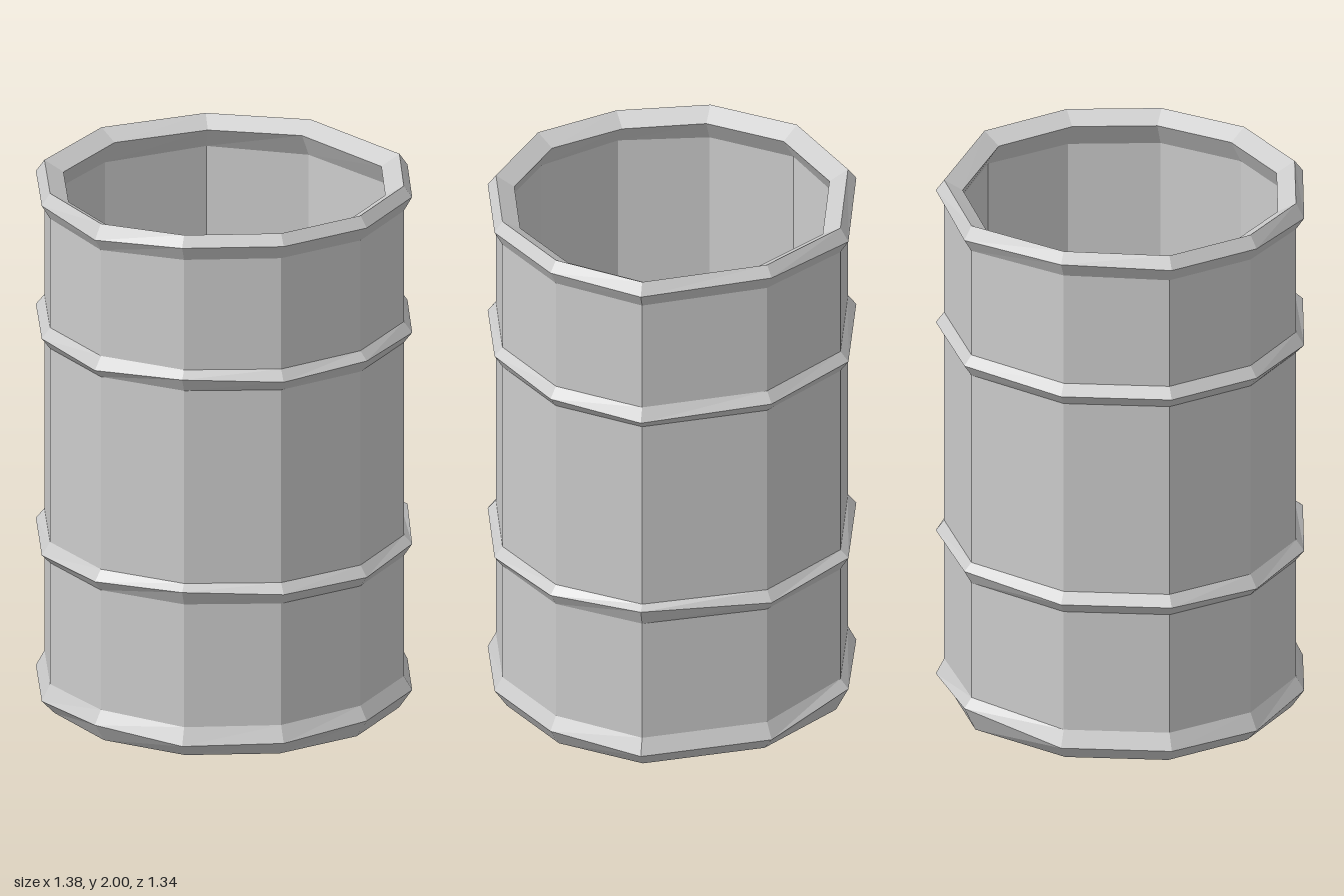
import * as THREE from 'three';

// Uneven eleven-sided outline [x, z] at the widest point of the hoops
const OUTLINE = [
  [0.69, 0], [0.585, 0.345], [0.325, 0.59], [-0.02, 0.67], [-0.37, 0.565], [-0.61, 0.305],
  [-0.69, -0.04], [-0.59, -0.385], [-0.275, -0.63], [0.155, -0.67], [0.495, -0.445],
];
const WALL = 0.955; // outer wall, as a share of the outline
const INNER = 0.93; // inner wall
const LIP = 0.855; // inner edge of the rims

const material = new THREE.MeshStandardMaterial({
  color: 0xcccccc, flatShading: true, side: THREE.DoubleSide,
});

// Sweeps a profile of [scale, y, dent weight] around the outline;
// dents shift each corner up or down for a battered look
function sweep(name, profile, dents = []) {
  const n = OUTLINE.length;
  const positions = [];
  const index = [];
  profile.forEach(([scale, y, weight = 0], j) => {
    OUTLINE.forEach(([x, z], i) => {
      positions.push(x * scale, y + weight * (dents[i] ?? 0), z * scale);
      if (j === 0) return;
      const k = (i + 1) % n;
      const low = (j - 1) * n;
      const high = j * n;
      index.push(low + i, high + i, low + k, low + k, high + i, high + k);
    });
  });
  const geometry = new THREE.BufferGeometry();
  geometry.setAttribute('position', new THREE.Float32BufferAttribute(positions, 3));
  geometry.setIndex(index);
  geometry.computeVertexNormals();
  const mesh = new THREE.Mesh(geometry, material);
  mesh.name = name;
  return mesh;
}

// Pointed hoop around the wall
function hoop(name, y, dents) {
  return sweep(name, [[WALL, y - 0.04, 0.2], [1, y, 1], [WALL, y + 0.04, 0.2]], dents);
}

export function createModel() {
  const group = new THREE.Group();
  group.name = 'barrel';

  // Walls and floor
  group.add(sweep('outerWall', [[WALL, 0.1], [WALL, 1.92]]));
  group.add(sweep('innerWall', [[INNER, 1.9], [INNER, 0.04]]));
  group.add(sweep('floor', [[INNER, 0.04], [0, 0.04]]));

  // Hoops
  group.add(hoop('lowerHoop', 0.62,
    [0.03, 0.01, 0, 0.005, 0.02, 0, -0.01, 0, 0, 0.015, 0]));
  group.add(hoop('upperHoop', 1.44,
    [-0.01, 0, 0.01, 0, 0.015, -0.01, 0, 0, 0, 0.005, 0]));

  // Bottom rim
  group.add(sweep('bottomRim', [
    [INNER, 0.1], [LIP, 0.04], [0.93, 0], [1, 0.055, 1], [WALL, 0.115, 0.4],
  ], [0, 0.015, 0.015, 0, -0.005, 0.015, -0.005, 0, 0, 0.04, 0]));

  // Top rim
  group.add(sweep('topRim', [
    [WALL, 1.905, 0.7], [1, 1.96, 1], [WALL, 2, 0.5], [LIP, 1.96, 0.5], [INNER, 1.87],
  ], [-0.01, 0, 0, 0, 0, -0.03, -0.01, -0.01, 0, -0.02, 0]));

  return group;
}
